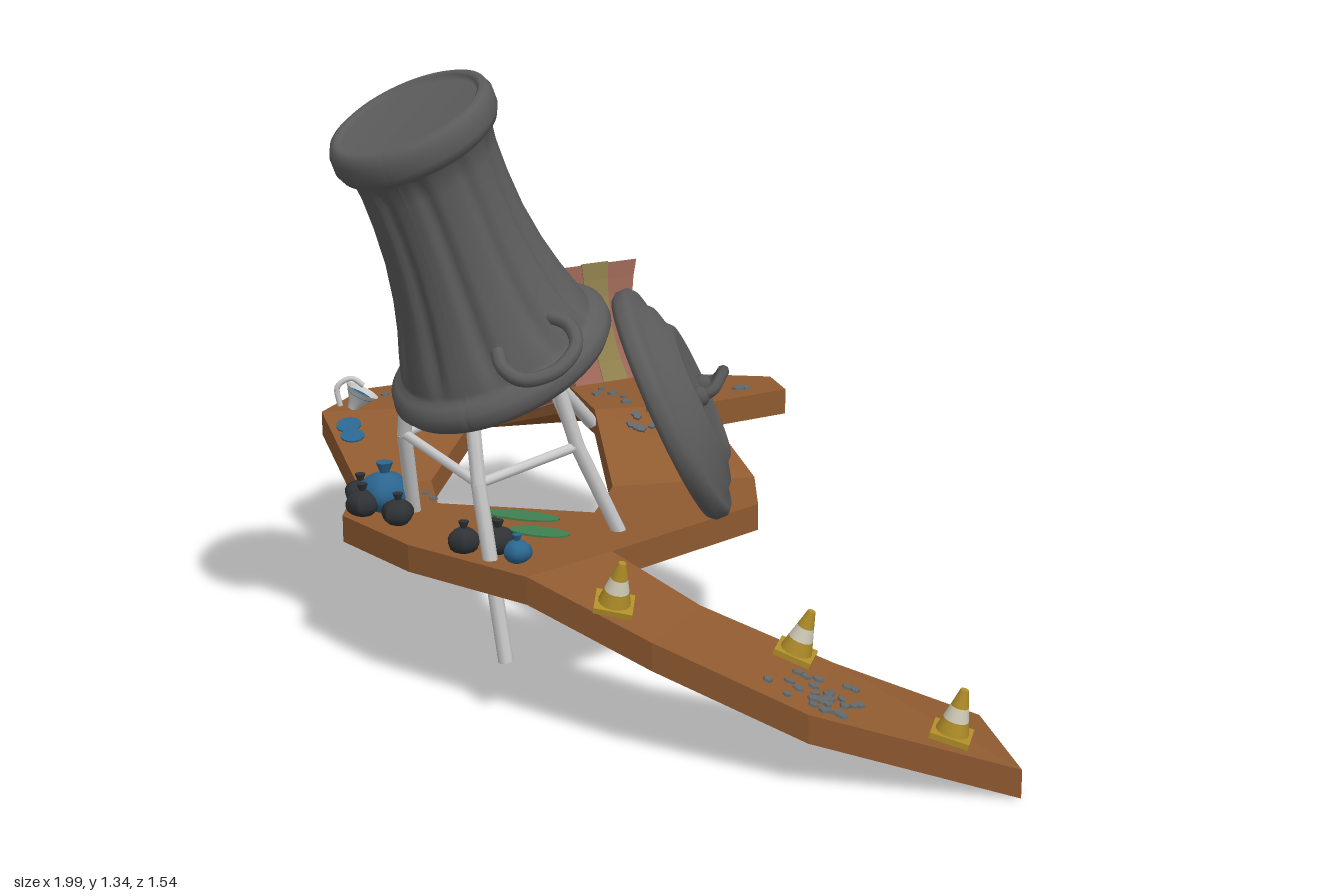
import * as THREE from 'three';

const V = (x, y, z) => new THREE.Vector3(x, y, z);
const UP = V(0, 1, 0);

let seed = 7;
const rnd = () => { seed = (seed * 16807) % 2147483647; return seed / 2147483647; };

function add(parent, name, geo, color, opts = {}) {
  const mesh = new THREE.Mesh(geo, new THREE.MeshStandardMaterial({ color, ...opts }));
  mesh.name = name;
  parent.add(mesh);
  return mesh;
}

const tube = (points, r, sides = 8, steps = 16) =>
  new THREE.TubeGeometry(new THREE.CatmullRomCurve3(points), steps, r, sides);

function rod(parent, name, a, b, r, color) {
  const mesh = add(parent, name, new THREE.CylinderGeometry(r, r, a.distanceTo(b), 8), color);
  mesh.position.copy(a).add(b).multiplyScalar(0.5);
  mesh.quaternion.setFromUnitVectors(UP, b.clone().sub(a).normalize());
  return mesh;
}

// Track corners (x, y of the top, z) and the plates between them
const corners = [
  [0.99, 0.06, 0.65], [0.85, 0.06, 0.41], [0.59, 0.16, 0.76], [0.56, 0.16, 0.48], [0.26, 0.26, 0.745],
  [0.28, 0.26, 0.51], [-0.035, 0.34, 0.68], [0.07, 0.34, 0.47], [0.26, 0.34, 0.06], [-0.06, 0.34, 0.24],
  [0.19, 0.34, -0.13], [-0.09, 0.34, 0.05], [0.02, 0.47, -0.235], [-0.195, 0.47, -0.107], [0.17, 0.47, -0.43],
  [0.1, 0.47, -0.53], [-0.16, 0.47, -0.47], [-0.32, 0.47, -0.27], [-0.32, 0.34, -0.7], [-0.645, 0.34, -0.475],
  [-0.47, 0.34, -0.78], [-0.8, 0.34, -0.74], [-1, 0.34, -0.51], [-1, 0.34, -0.28], [-0.78, 0.25, -0.03],
  [-0.62, 0.25, -0.11], [-0.655, 0.25, 0.2], [-0.505, 0.25, 0.09], [-0.61, 0.34, 0.33], [-0.57, 0.34, 0.45],
  [-0.35, 0.34, 0.58],
].map(p => V(...p));
const plates = [
  [0, 1, 3, 2], [2, 3, 5, 4], [4, 5, 7, 6], [9, 8, 7, 6, 30, 29, 28], [8, 10, 11, 9], [10, 12, 13, 11],
  [16, 15, 14, 12, 13, 17], [16, 18, 19, 17], [19, 18, 20, 21, 22, 23], [23, 24, 25, 19],
  [24, 26, 27, 25], [26, 28, 9, 27],
];

// Plates get a top, a bottom, and walls along edges no neighbour shares
function trackGeometry(thick) {
  const pos = [], edges = new Set();
  const tri = (...pts) => pts.forEach(p => pos.push(p.x, p.y, p.z));
  const low = p => V(p.x, p.y - thick, p.z);
  const faces = plates.map(ids => {
    let area = 0;
    ids.forEach((id, i) => {
      const a = corners[id], b = corners[ids[(i + 1) % ids.length]];
      area += a.x * b.z - b.x * a.z;
    });
    return area > 0 ? [ids[0], ...ids.slice(1).reverse()] : ids;
  });
  const each = fn => faces.forEach(f => f.forEach((a, i) => fn(a, f[(i + 1) % f.length])));
  each((a, b) => edges.add(a + '_' + b));
  faces.forEach(f => {
    for (let i = 1; i < f.length - 1; i++) {
      const [a, b, c] = [f[0], f[i], f[i + 1]].map(k => corners[k]);
      tri(a, b, c);
      tri(low(a), low(c), low(b));
    }
  });
  each((i, j) => {
    if (edges.has(j + '_' + i)) return;
    const a = corners[i], b = corners[j];
    tri(a, low(a), low(b));
    tri(a, low(b), b);
  });
  const geo = new THREE.BufferGeometry();
  geo.setAttribute('position', new THREE.Float32BufferAttribute(pos, 3));
  geo.computeVertexNormals();
  return geo;
}

// Box with walls that curve inward
function pinchedBox(w, h, d) {
  const geo = new THREE.BoxGeometry(w, h, d, 6, 8, 6), p = geo.attributes.position;
  for (let i = 0; i < p.count; i++) {
    const u = p.getX(i) / w * 2, v = p.getY(i) / h * 2, t = p.getZ(i) / d * 2;
    p.setXYZ(i, p.getX(i) * (0.78 + 0.22 * v * v), p.getY(i) * (0.86 + 0.14 * u * u),
      p.getZ(i) * (0.8 + 0.2 * v * v) * (0.92 + 0.08 * t * t));
  }
  geo.computeVertexNormals();
  return geo;
}

// Fluted, pinched, upside-down can; local y runs 0..1 along its leaning axis
function buildCan(root) {
  const can = new THREE.Group();
  can.name = 'can';
  root.add(can);
  const n = V(-0.28, 1, 0.41).normalize(), X = n.clone().cross(V(0, 0, 1)).normalize(), Z = X.clone().cross(n);
  const place = new THREE.Matrix4().makeBasis(X, V(-0.135, 0.545, 0.155), Z).setPosition(-0.19, 0.72, 0.43);
  const profile = [[0.2, 0.02], [0.215, -0.02], [0.235, -0.02], [0.248, 0.01], [0.245, 0.05], [0.23, 0.075],
    [0.215, 0.08], [0.213, 0.1], [0.2, 0.18], [0.185, 0.26], [0.168, 0.38], [0.155, 0.52], [0.15, 0.66],
    [0.15, 0.78], [0.155, 0.86], [0.172, 0.88], [0.18, 0.91], [0.18, 0.96], [0.172, 0.99], [0.16, 1],
    [0.152, 0.99], [0.148, 0.975], [0, 0.975]].map(p => new THREE.Vector2(...p));
  const geo = new THREE.LatheGeometry(profile, 100), p = geo.attributes.position;
  for (let i = 0; i < p.count; i++) {
    const x = p.getX(i), y = p.getY(i), z = p.getZ(i);
    if (y < 0.12 || y > 0.84) continue;
    const k = 1 - 0.07 * Math.pow(Math.max(0, Math.cos(10 * Math.atan2(z, x))), 2);
    p.setXYZ(i, x * k, y, z * k);
  }
  geo.applyMatrix4(place);
  geo.computeVertexNormals();
  add(can, 'canBody', geo, 0x5c5c5c, { side: THREE.DoubleSide });
  for (const a of [0.75, 0.75 + Math.PI]) {
    const pts = [[-0.36, 0.19, 0.2], [-0.36, 0.235, 0.17], [-0.25, 0.27, 0.13], [0, 0.285, 0.11],
      [0.25, 0.27, 0.13], [0.36, 0.235, 0.17], [0.36, 0.19, 0.2]];
    add(can, 'canHandle', tube(pts.map(([da, r, t]) =>
      V(Math.cos(a + da) * r, t, Math.sin(a + da) * r).applyMatrix4(place)), 0.015, 8, 30), 0x5c5c5c);
  }
}

function buildLid(root) {
  const lid = new THREE.Group();
  lid.name = 'lid';
  lid.position.set(0.09, 0.58, 0.15);
  const n = V(0.85, 0.42, -0.31).normalize();
  const Z = V(0, 0, 1).addScaledVector(n, -n.z).normalize(), X = n.clone().cross(Z);
  lid.quaternion.setFromRotationMatrix(new THREE.Matrix4().makeBasis(X, n, Z));
  const profile = [[0, 0.035], [0.13, 0.03], [0.2, 0.01], [0.24, -0.02], [0.262, -0.025], [0.272, -0.012],
    [0.272, 0.012], [0.258, 0.024], [0.23, 0.026], [0.21, 0.045], [0.17, 0.056], [0.155, 0.07],
    [0.13, 0.072], [0.11, 0.062], [0, 0.07]].map(p => new THREE.Vector2(...p));
  add(lid, 'lidShell', new THREE.LatheGeometry(profile, 56), 0x5c5c5c, { side: THREE.DoubleSide });
  add(lid, 'lidHandle', tube([V(0, 0.06, -0.1), V(0, 0.1, -0.095), V(-0.015, 0.125, -0.05), V(-0.015, 0.125, 0.05),
    V(0, 0.1, 0.095), V(0, 0.06, 0.1)], 0.013, 8, 30), 0x555555);
  for (const s of [-1, 1]) add(lid, 'handleFoot', new THREE.SphereGeometry(0.024, 12, 8), 0x555555).position.set(0, 0.068, s * 0.1);
  root.add(lid);
}

function buildStand(root) {
  const stand = new THREE.Group();
  stand.name = 'stand';
  root.add(stand);
  const legs = [
    [V(-0.37, 0.78, 0.5), V(-0.42, 0.54, 0.44), V(-0.44, 0.33, 0.36)],
    [V(-0.21, 0.76, 0.57), V(-0.175, 0.5, 0.6), V(-0.115, 0.12, 0.61)],
    [V(-0.09, 0.78, 0.45), V(-0.035, 0.54, 0.4), V(0.035, 0.33, 0.33)],
    [V(-0.24, 0.8, 0.26), V(-0.25, 0.6, 0.06), V(-0.2, 0.44, -0.1)],
  ];
  legs.forEach((leg, i) => {
    rod(stand, 'legUpper', leg[0], leg[1], 0.016, 0xc4c4c4);
    rod(stand, 'legLower', leg[1], leg[2], 0.016, 0xc4c4c4);
    add(stand, 'legJoint', new THREE.SphereGeometry(0.016, 8, 6), 0xc4c4c4).position.copy(leg[1]);
    rod(stand, 'brace', leg[1], legs[(i + 1) % 4][1], 0.011, 0xc4c4c4);
  });
}

function buildCarton(root) {
  const carton = new THREE.Group();
  carton.name = 'carton';
  carton.position.set(-0.39, 0.53, -0.53);
  carton.rotation.set(0, -0.67, 0.38, 'YXZ');
  add(carton, 'cartonBox', pinchedBox(0.25, 0.32, 0.24), 0x9a6656, { flatShading: true });
  add(carton, 'cartonTape', pinchedBox(0.256, 0.326, 0.075), 0x8f7f4d, { flatShading: true });
  for (const s of [-1, 1]) {
    const flap = add(carton, 'cartonFlap', new THREE.BoxGeometry(0.24, 0.008, 0.08), 0x9a6656);
    flap.position.set(0, -0.15, s * 0.14);
    flap.rotation.x = s * 0.4;
  }
  root.add(carton);
  add(root, 'bentPipe', tube([V(-0.45, 0.6, -0.5), V(-0.52, 0.6, -0.5), V(-0.555, 0.64, -0.505), V(-0.605, 0.74, -0.52)],
    0.024, 10), 0x555a58, { side: THREE.DoubleSide });
}

export function createModel() {
  const root = new THREE.Group();
  root.name = 'junkyardTrack';
  const track = add(root, 'track', trackGeometry(0.06), 0x8f5a30, { flatShading: true });
  buildCan(root);
  buildLid(root);
  buildStand(root);
  buildCarton(root);

  // Stands an object on the track surface, square to its slope
  const ray = new THREE.Raycaster();
  function settle(obj, x, z, lift = 0) {
    ray.set(V(x, 2, z), V(0, -1, 0));
    const hit = ray.intersectObject(track)[0];
    if (!hit) return;
    obj.position.copy(hit.point).addScaledVector(hit.face.normal, lift);
    obj.quaternion.setFromUnitVectors(UP, hit.face.normal);
    root.add(obj);
  }

  // Traffic cones
  for (const [x, z, turn] of [[-0.115, -0.42, 0.1], [0.15, 0.67, 0.3], [0.49, 0.53, 0.1], [0.84, 0.62, 0.1]]) {
    const cone = new THREE.Group();
    cone.name = 'trafficCone';
    settle(cone, x, z);
    cone.rotateY(turn);
    add(cone, 'coneBase', new THREE.BoxGeometry(0.08, 0.012, 0.08), 0xb08d28).position.y = 0.006;
    [[0.034, 0.026, 0.028, 0xb08d28], [0.026, 0.018, 0.028, 0xd2cdb8], [0.018, 0.008, 0.036, 0xb08d28]].reduce((y, [r0, r1, h, c]) => {
      add(cone, 'coneBand', new THREE.CylinderGeometry(r1, r0, h, 14), c).position.y = y + h / 2;
      return y + h;
    }, 0.012);
  }

  // Rubbish bags with tied necks
  const bags = [[-0.57, 0.36, 0.035, 0x2f3235], [-0.5, 0.38, 0.055, 0x2b6690], [-0.53, 0.43, 0.036, 0x2f3235],
    [-0.43, 0.46, 0.035, 0x2f3235], [-0.55, 0.31, 0.025, 0x8a4a42], [-0.5, 0.3, 0.025, 0x8a4a42],
    [-0.22, 0.58, 0.034, 0x2f3235], [-0.15, 0.56, 0.036, 0x2f3235], [-0.09, 0.6, 0.03, 0x2b6690], [-0.18, 0.52, 0.03, 0x2f3235]];
  for (const [x, z, r, color] of bags) {
    const bag = new THREE.Group();
    bag.name = 'rubbishBag';
    settle(bag, x, z);
    bag.rotateY(rnd() * 6);
    const geo = new THREE.SphereGeometry(r, 12, 9), p = geo.attributes.position;
    for (let i = 0; i < p.count; i++) {
      const k = 1 + 0.12 * Math.sin(p.getX(i) / r * 5) * Math.cos(p.getZ(i) / r * 4);
      p.setXYZ(i, p.getX(i) * k, p.getY(i) * 0.85, p.getZ(i) * k);
    }
    geo.computeVertexNormals();
    add(bag, 'bagBody', geo, color).position.y = r * 0.75;
    add(bag, 'bagNeck', new THREE.CylinderGeometry(r * 0.35, r * 0.15, r * 0.5, 7), color).position.y = r * 1.75;
  }

  // Loose gravel patches
  for (const [cx, cz, w, d, count] of [[-0.82, -0.5, 0.1, 0.1, 26], [-0.63, 0.02, 0.09, 0.1, 26], [-0.13, -0.27, 0.12, 0.11, 26],
    [0.02, -0.37, 0.11, 0.1, 18], [-0.06, -0.12, 0.06, 0.03, 8], [0.57, 0.64, 0.09, 0.08, 28]]) {
    for (let i = 0; i < count; i++) {
      const stone = new THREE.Mesh(new THREE.CylinderGeometry(0.011, 0.013, 0.006, 5),
        new THREE.MeshStandardMaterial({ color: 0x62686a, flatShading: true }));
      stone.name = 'gravel';
      settle(stone, cx + (rnd() * 2 - 1) * w, cz + (rnd() * 2 - 1) * d, 0.002);
      stone.rotateY(rnd() * 6);
      stone.scale.set(0.7 + rnd() * 0.7, 1, 0.6 + rnd() * 0.5);
    }
  }

  // Spilled puddles
  for (const [x, z, rx, rz, color] of [[-0.91, -0.25, 0.03, 0.035, 0x2b6690], [-0.88, -0.21, 0.03, 0.03, 0x2b6690],
    [-0.2, 0.32, 0.09, 0.03, 0x3f8050], [-0.12, 0.41, 0.07, 0.03, 0x3f8050]]) {
    const puddle = new THREE.Mesh(new THREE.CylinderGeometry(1, 1, 0.004, 14), new THREE.MeshStandardMaterial({ color }));
    puddle.name = 'puddle';
    puddle.scale.set(rx, 1, rz);
    settle(puddle, x, z, 0.002);
  }

  // Tipped-over basin
  const basin = new THREE.Group();
  basin.name = 'basin';
  settle(basin, -0.94, -0.33);
  basin.rotateY(0.5);
  const bowl = add(basin, 'basinBowl', new THREE.LatheGeometry([[0.012, 0], [0.02, 0.02], [0.04, 0.05], [0.045, 0.055]]
    .map(p => new THREE.Vector2(...p)), 18), 0xcccccc, { side: THREE.DoubleSide });
  bowl.rotation.z = -0.5;
  add(basin, 'basinWater', new THREE.CylinderGeometry(0.034, 0.034, 0.003, 16), 0x2b6690).position.set(0.02, 0.036, 0);
  basin.children[1].rotation.z = -0.5;
  add(basin, 'basinPipe', tube([V(-0.03, 0.01, 0), V(-0.035, 0.06, 0), V(0, 0.08, 0), V(0.03, 0.06, 0)], 0.007), 0xcccccc);
  return root;
}
